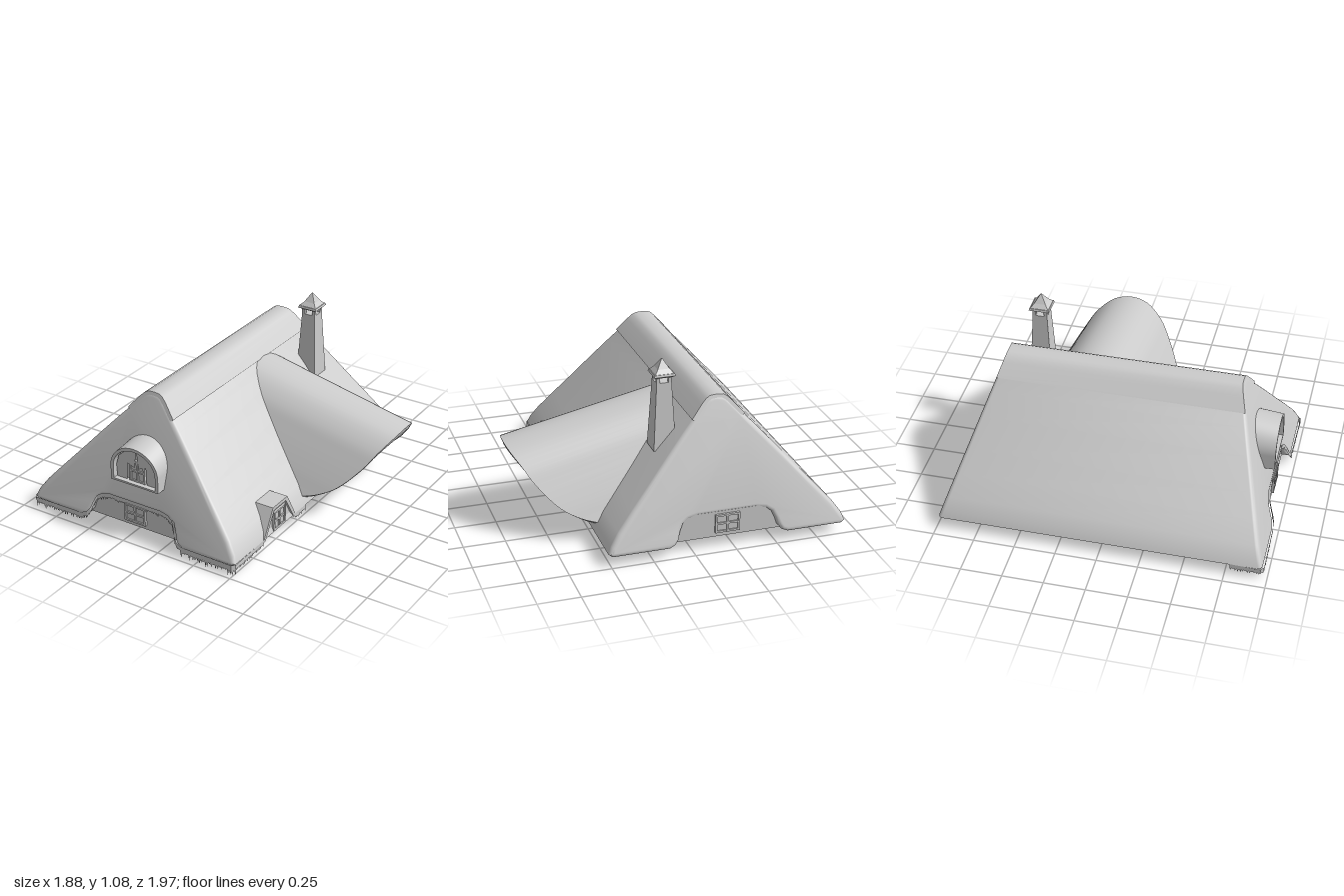
import * as THREE from 'three';
import { toCreasedNormals } from 'three/addons/utils/BufferGeometryUtils.js';

const mat = new THREE.MeshStandardMaterial({ color: 0xcccccc });
const thin = new THREE.MeshStandardMaterial({ color: 0xcccccc, side: THREE.DoubleSide });
const CX = -0.21; // ridge line in x

const gableZ = (y) => 0.985 - 0.27 * (y - 0.06) / 0.8; // half length of the roof at height y

let seed = 7;
const rand = () => (seed = (seed * 16807) % 2147483647) / 2147483647;

function add(parent, name, geo, material = mat, pos = [0, 0, 0]) {
  const m = new THREE.Mesh(geo, material);
  m.name = name;
  m.position.set(...pos);
  parent.add(m);
  return m;
}

const shapeOf = (pts) => new THREE.Shape(pts.map(([x, y]) => new THREE.Vector2(x, y)));

// Extrude along z, then lean both ends back to the gable slope
function leaningExtrude(pts, bevel, stretch) {
  const geo = new THREE.ExtrudeGeometry(shapeOf(pts), {
    depth: 2 - 2 * bevel, bevelEnabled: bevel > 0, bevelThickness: bevel,
    bevelSize: bevel, bevelOffset: -bevel, bevelSegments: 4,
  });
  geo.translate(0, 0, bevel - 1);
  const p = geo.attributes.position;
  for (let i = 0; i < p.count; i++) p.setZ(i, -0.01 + p.getZ(i) * gableZ(p.getY(i)) * stretch);
  return toCreasedNormals(geo, 0.6);
}

// Half profile of the roof, from eave to ridge: [half width, y]
const SLOPE = [[0.7, 0.06], [0.722, 0.075], [0.705, 0.12], [0.655, 0.19], [0.56, 0.297], [0.455, 0.412],
  [0.32, 0.563], [0.21, 0.683], [0.155, 0.74], [0.09, 0.815], [0.06, 0.845], [0.035, 0.859], [0, 0.862]];
// Arched cut-out below the gables, left half: [half width, y]
const CUT = [[0.36, 0.06], [0.325, 0.075], [0.305, 0.1], [0.29, 0.145], [0.27, 0.185], [0.235, 0.208], [0.18, 0.218]];

const mirrored = (half) => [
  ...half.map(([w, y]) => [CX + w, y]),
  ...half.slice().reverse().filter(([w]) => w > 0).map(([w, y]) => [CX - w, y]),
];

// Window with bars, facing +z, centred on its own origin
function windowUnit(name, w, h) {
  const g = new THREE.Group();
  g.name = name;
  const t = 0.012;
  add(g, 'pane', new THREE.BoxGeometry(w, h, 0.008));
  for (const x of [-1, 0, 1]) add(g, 'uprightBar', new THREE.BoxGeometry(t, h, 0.018), mat, [x * (w - t) / 2, 0, 0.004]);
  for (const y of [-1, 0, 1]) add(g, 'crossBar', new THREE.BoxGeometry(w, t, 0.016), mat, [0, y * (h - t) / 2, 0.004]);
  return g;
}

// Ragged straw hanging along a path of [x, y, z] points
function fringe(parent, name, path, drop) {
  const pos = [];
  for (let k = 0; k + 1 < path.length; k++) {
    const a = new THREE.Vector3(...path[k]), b = new THREE.Vector3(...path[k + 1]);
    const n = Math.max(1, Math.round(a.distanceTo(b) / 0.014));
    for (let i = 0; i < n; i++) {
      const p = a.clone().lerp(b, i / n), q = a.clone().lerp(b, (i + 1) / n);
      const mid = p.clone().lerp(q, 0.2 + 0.6 * rand());
      const d = drop * (0.4 + 0.6 * rand()), e = drop * 0.3;
      pos.push(p.x, p.y + 0.015, p.z, p.x, p.y - e, p.z, q.x, q.y - e, q.z);
      pos.push(p.x, p.y + 0.015, p.z, q.x, q.y - e, q.z, q.x, q.y + 0.015, q.z);
      pos.push(p.x, p.y - e, p.z, mid.x, mid.y - d, mid.z, q.x, q.y - e, q.z);
    }
  }
  const geo = new THREE.BufferGeometry();
  geo.setAttribute('position', new THREE.Float32BufferAttribute(pos, 3));
  geo.computeVertexNormals();
  add(parent, name, geo, thin);
}

// Side tunnel roof: an arched, leaning rim swept upwards into the main slope
function sideTunnel() {
  const half = [[0.945, 0.532, 0], [0.93, 0.51, 0.11], [0.875, 0.435, 0.215], [0.815, 0.345, 0.28],
    [0.69, 0.215, 0.365], [0.58, 0.155, 0.405], [0.48, 0.125, 0.43]];
  const pts = [...half.slice(1).reverse().map(([x, y, z]) => [x, y, -z]), ...half];
  const curve = new THREE.CatmullRomCurve3(pts.map((p) => new THREE.Vector3(...p)));
  const N = 48, pos = [], idx = [];
  for (let i = 0; i <= N; i++) {
    const p = curve.getPoint(i / N), t = curve.getTangent(i / N);
    const len = Math.hypot(t.y, t.z);
    const inner = new THREE.Vector3(p.x - 0.012, p.y - 0.034 * Math.abs(t.z) / len, p.z + 0.034 * t.y / len);
    const row = [p, inner].map((r) => {
      const x = Math.min((0.59 - 0.88 * r.y - 0.192 * r.x) / 0.808 - 0.04, r.x - 0.02);
      return [r, new THREE.Vector3(x, r.y + 0.218 * (r.x - x), r.z)];
    });
    for (const v of [row[0][1], row[0][0], row[1][0], row[1][1]]) pos.push(v.x, v.y, v.z);
    if (i < N) for (let j = 0; j < 4; j++) {
      const a = i * 4 + j, b = i * 4 + (j + 1) % 4;
      idx.push(a, a + 4, b, b, a + 4, b + 4);
    }
  }
  const geo = new THREE.BufferGeometry();
  geo.setAttribute('position', new THREE.Float32BufferAttribute(pos, 3));
  geo.setIndex(idx);
  return toCreasedNormals(geo, 0.7);
}

function archPath(Cls, w, y0, y1, top) {
  const s = new Cls();
  s.moveTo(-w, y0);
  s.lineTo(w, y0);
  s.lineTo(w, y1);
  s.absellipse(0, y1, w, top - y1, 0, Math.PI, false, 0);
  s.lineTo(-w, y0);
  return s;
}

function frontDormer() {
  const g = new THREE.Group();
  g.name = 'archedDormer';
  const s = archPath(THREE.Shape, 0.168, 0.355, 0.45, 0.6);
  s.holes.push(archPath(THREE.Path, 0.148, 0.367, 0.45, 0.58));
  const hood = new THREE.ExtrudeGeometry(s, { depth: 0.26, bevelEnabled: false, curveSegments: 24 });
  const p = hood.attributes.position;
  for (let i = 0; i < p.count; i++) // hood rises a little towards the gable
    if (p.getZ(i) < 0.1 && p.getY(i) > 0.45) p.setY(i, p.getY(i) + (p.getY(i) - 0.45) * 0.25);
  add(g, 'hood', toCreasedNormals(hood, 0.6), mat, [0, 0, 0.675]);
  const back = new THREE.ExtrudeGeometry(archPath(THREE.Shape, 0.155, 0.36, 0.45, 0.588), { depth: 0.01, bevelEnabled: false });
  add(g, 'backPanel', back, mat, [0, 0, 0.878]);
  const win = windowUnit('dormerWindow', 0.11, 0.14);
  win.position.set(0, 0.435, 0.894);
  g.add(win);
  for (const m of [-1, 1]) { // gathered curtains
    const c = shapeOf([[0, 0.575], [m * 0.06, 0.57], [m * 0.125, 0.515], [m * 0.145, 0.45], [m * 0.14, 0.37],
      [m * 0.07, 0.37], [m * 0.065, 0.48], [m * 0.015, 0.46]]);
    add(g, 'curtain', new THREE.ShapeGeometry(c), thin, [0, 0, 0.908]);
  }
  g.position.x = -0.2;
  return g;
}

function smallDormer() {
  const g = new THREE.Group();
  g.name = 'smallDormer';
  const body = [[-0.17, 0.065], [0.17, 0.065], [0.075, 0.228], [-0.075, 0.228]];
  add(g, 'body', new THREE.ExtrudeGeometry(shapeOf(body), { depth: 0.25, bevelEnabled: false }), mat, [0, 0, -0.25]);
  const hood = [[-0.185, 0.063], [-0.08, 0.248], [0.08, 0.248], [0.185, 0.063], [0.16, 0.063], [0.066, 0.225], [-0.066, 0.225], [-0.16, 0.063]];
  add(g, 'hood', new THREE.ExtrudeGeometry(shapeOf(hood), { depth: 0.27, bevelEnabled: false }), mat, [0, 0, -0.255]);
  const win = windowUnit('smallWindow', 0.13, 0.125);
  win.position.set(0, 0.142, 0.002);
  g.add(win);
  g.rotation.y = Math.PI / 2;
  g.position.set(0.5, 0, 0.48);
  return g;
}

function chimney() {
  const g = new THREE.Group();
  g.name = 'chimney';
  // Square frustum by half width at bottom and top
  const frustum = (name, b, t, y0, y1) => {
    const geo = new THREE.CylinderGeometry(t * Math.SQRT2, b * Math.SQRT2, y1 - y0, 4, 1).toNonIndexed();
    geo.rotateY(Math.PI / 4);
    geo.computeVertexNormals();
    add(g, name, geo, mat, [0, (y0 + y1) / 2, 0]);
  };
  frustum('stack', 0.067, 0.045, 0.53, 0.942);
  for (const x of [-1, 1]) for (const z of [-1, 1])
    add(g, 'capPost', new THREE.BoxGeometry(0.02, 0.045, 0.02), mat, [x * 0.035, 0.96, z * 0.035]);
  frustum('capUnderside', 0.045, 0.064, 0.972, 0.985);
  frustum('capSlab', 0.064, 0.06, 0.985, 0.998);
  frustum('capFlare', 0.056, 0.035, 0.998, 1.022);
  frustum('capPeak', 0.035, 0.001, 1.022, 1.078);
  g.position.set(0.08, 0, -0.6);
  return g;
}

export function createModel() {
  const root = new THREE.Group();
  root.name = 'thatchedRoof';

  // Main thatch: slopes, then back along the cut-out on the underside
  const underside = mirrored(CUT).reverse();
  add(root, 'thatch', leaningExtrude([...mirrored(SLOPE), ...underside], 0.025, 1));

  // Ridge cap
  const top = SLOPE.filter(([, y]) => y > 0.73).map(([w, y]) => [w > 0 ? w + 0.005 : 0, y + 0.005]);
  add(root, 'ridgeCap', leaningExtrude([...mirrored(top), [CX - 0.145, 0.735], [CX, 0.82], [CX + 0.145, 0.735]], 0, 0.998));

  // End walls with windows in the cut-outs
  for (const s of [1, -1]) {
    const wall = new THREE.Group();
    wall.name = s > 0 ? 'frontWall' : 'backWall';
    add(wall, 'panel', new THREE.BoxGeometry(0.68, 0.16, 0.02), mat, [0, 0.15, 0]);
    const win = windowUnit('wallWindow', 0.15, 0.115);
    win.position.set(0, 0.155, 0.012);
    wall.add(win);
    wall.position.set(CX, 0, s * 0.915 - 0.01);
    if (s < 0) wall.rotation.y = Math.PI;
    root.add(wall);
  }

  // Straw fringe along the front eave and round the corners
  const fz = (y) => gableZ(y) - 0.008;
  const edge = mirrored(CUT).map(([x, y]) => [x, y + 0.005, fz(y)]);
  fringe(root, 'cutoutFringe', edge, 0.035);
  for (const m of [-1, 1]) {
    const outer = CX + m * 0.725;
    fringe(root, 'frontFringe', [[CX + m * 0.35, 0.06, 0.973], [outer - m * 0.02, 0.06, 0.978], [outer, 0.06, 0.955]], m > 0 ? 0.06 : 0.045);
    fringe(root, 'sideFringe', [[outer, 0.06, 0.96], [outer, 0.065, m > 0 ? 0.66 : 0.78]], 0.035);
  }
  fringe(root, 'sideFringe', [[0.515, 0.065, 0.31], [0.515, 0.065, 0.18]], 0.035);

  add(root, 'sideTunnelRoof', sideTunnel(), thin, [0, 0, -0.245]);
  root.add(frontDormer(), smallDormer(), chimney());
  return root;
}
